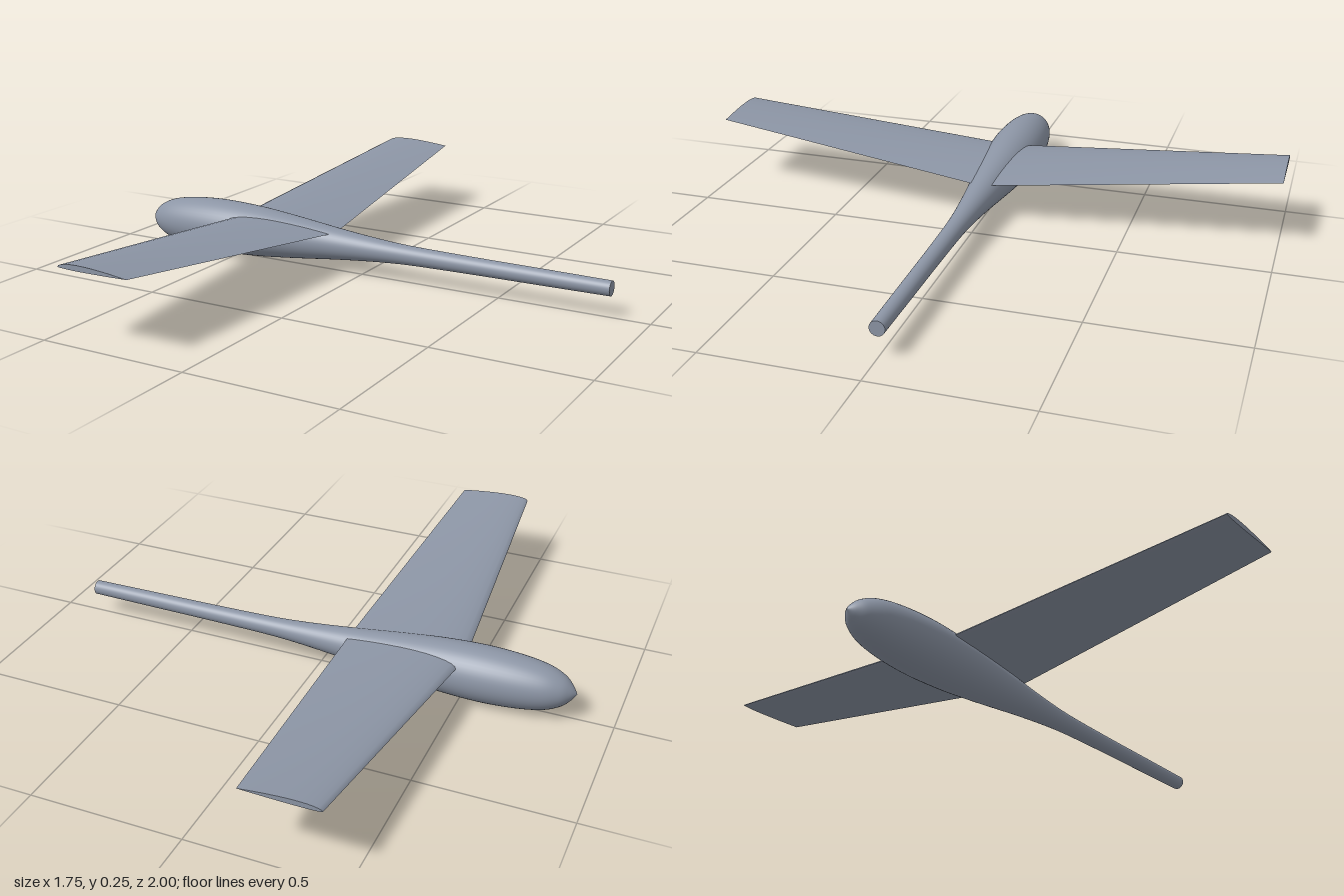
import * as THREE from 'three';
import { toCreasedNormals } from 'three/addons/utils/BufferGeometryUtils.js';

const AXIS_Y = 0.097; // height of the fuselage centre line

// Teardrop pod tapering into a slim boom, turned around the x axis
function makeFuselage(material) {
  const group = new THREE.Group();
  group.name = 'fuselage';
  const stations = [ // x, radius
    [-0.873, 0.0], [-0.855, 0.026], [-0.825, 0.052], [-0.77, 0.074], [-0.68, 0.088],
    [-0.56, 0.0935], [-0.42, 0.088], [-0.3, 0.077], [-0.2, 0.066], [-0.1, 0.0545],
    [0, 0.0445], [0.1, 0.0365], [0.2, 0.0318], [0.4, 0.0285], [0.65, 0.0265], [0.873, 0.0245],
  ];
  const curve = new THREE.SplineCurve(stations.map(([x, r]) => new THREE.Vector2(r, x)));
  const profile = curve.getPoints(75).map((p) => new THREE.Vector2(Math.max(p.x, 0), p.y));
  const body = new THREE.Mesh(new THREE.LatheGeometry(profile, 48).rotateZ(-Math.PI / 2), material);
  body.name = 'body';

  // Flat end of the boom
  const cap = new THREE.Mesh(new THREE.CircleGeometry(0.0245, 48).rotateY(Math.PI / 2), material);
  cap.name = 'boomEnd';
  cap.position.x = 0.873;
  group.add(body, cap);
  group.position.y = AXIS_Y;
  return group;
}

// Airfoil outline for a unit chord, counter-clockwise from the trailing edge
function airfoil(n) {
  const points = [];
  const thickness = (t) => (1.4845 * Math.sqrt(t) - 0.63 * t - 1.758 * t * t + 1.4215 * t ** 3 - 0.518 * t ** 4);
  const station = (i) => 0.5 + 0.5 * Math.cos((Math.PI * i) / n);
  for (let i = 0; i < n; i++) points.push([station(i), 0.11 * thickness(station(i))]);
  for (let i = n; i > 0; i--) points.push([station(i), -0.03 * thickness(station(i))]);
  return points;
}

// One straight-tapered wing with dihedral, lofted tip to tip
function makeWing(material) {
  const outline = airfoil(14);
  const n = outline.length;
  const positions = [];
  const index = [];
  [-1, 0, 1].forEach((z) => {
    const s = Math.abs(z);
    const front = THREE.MathUtils.lerp(-0.502, -0.428, s);
    const back = THREE.MathUtils.lerp(-0.104, -0.178, s);
    const y = THREE.MathUtils.lerp(0.134, 0.24, s);
    const chord = back - front;
    outline.forEach(([u, v]) => positions.push(front + u * chord, y + v * chord, z));
  });
  for (let s = 0; s < 2; s++) {
    for (let i = 0; i < n; i++) {
      const a = s * n + i;
      const b = s * n + ((i + 1) % n);
      index.push(a, b, b + n, a, b + n, a + n);
    }
  }
  // Wing tips
  for (let i = 1; i < n - 1; i++) {
    index.push(0, i + 1, i);
    index.push(2 * n, 2 * n + i, 2 * n + i + 1);
  }
  const geometry = new THREE.BufferGeometry();
  geometry.setAttribute('position', new THREE.Float32BufferAttribute(positions, 3));
  geometry.setIndex(index);
  const wing = new THREE.Mesh(toCreasedNormals(geometry, 0.7), material);
  wing.name = 'wing';
  return wing;
}

export function createModel() {
  const grey = new THREE.MeshStandardMaterial({ color: 0x8c95a5 });
  grey.name = 'blue grey';
  const model = new THREE.Group();
  model.name = 'glider';
  model.add(makeFuselage(grey), makeWing(grey));
  return model;
}
